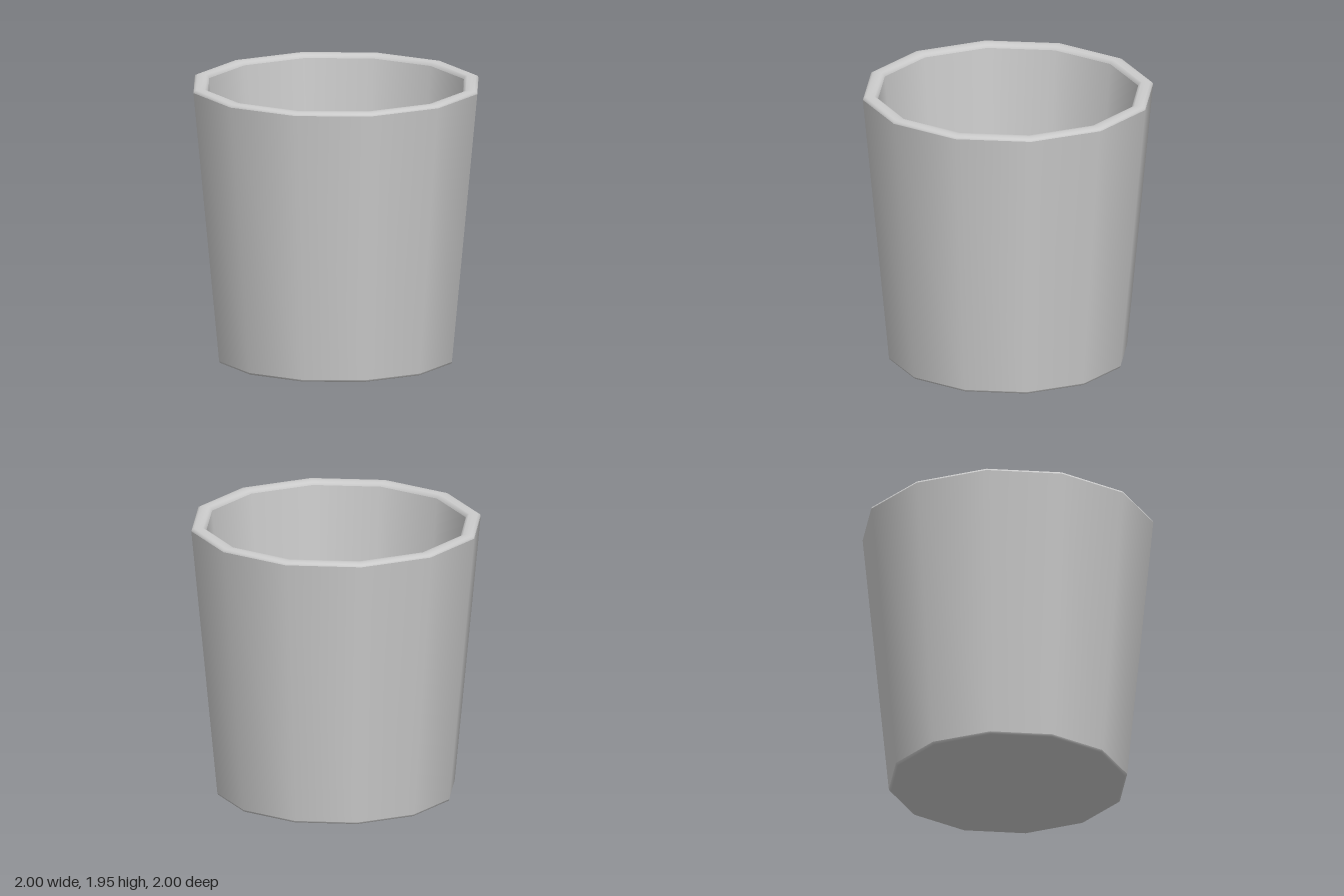
import * as THREE from 'three';

const SIDES = 12;

export function createModel() {
  const model = new THREE.Group();
  model.name = 'tumbler';
  const material = new THREE.MeshStandardMaterial({ color: 0xcccccc });

  // Revolves a profile of [radius, height] points into a smooth 12-sided part
  function addRing(name, profile) {
    const points = profile.map(([r, y]) => new THREE.Vector2(r, y));
    const mesh = new THREE.Mesh(new THREE.LatheGeometry(points, SIDES), material);
    mesh.name = name;
    model.add(mesh);
  }

  // Underside: a very shallow cone with a fine bevel at its edge
  addRing('underside', [[0, 0], [0.805, 0.037]]);
  addRing('baseBevel', [[0.805, 0.037], [0.815, 0.04], [0.82, 0.052]]);

  // Tapered outer wall
  addRing('outerWall', [[0.82, 0.052], [1, 1.93]]);

  // Rounded lip
  addRing('rim', [
    [1, 1.93], [0.995, 1.942], [0.98, 1.949], [0.95, 1.953],
    [0.92, 1.949], [0.905, 1.942], [0.897, 1.925],
  ]);

  // Inside of the cup, parallel to the outside
  addRing('innerWall', [[0.897, 1.925], [0.732, 0.14]]);
  addRing('floor', [[0.732, 0.14], [0, 0.1]]);

  return model;
}
